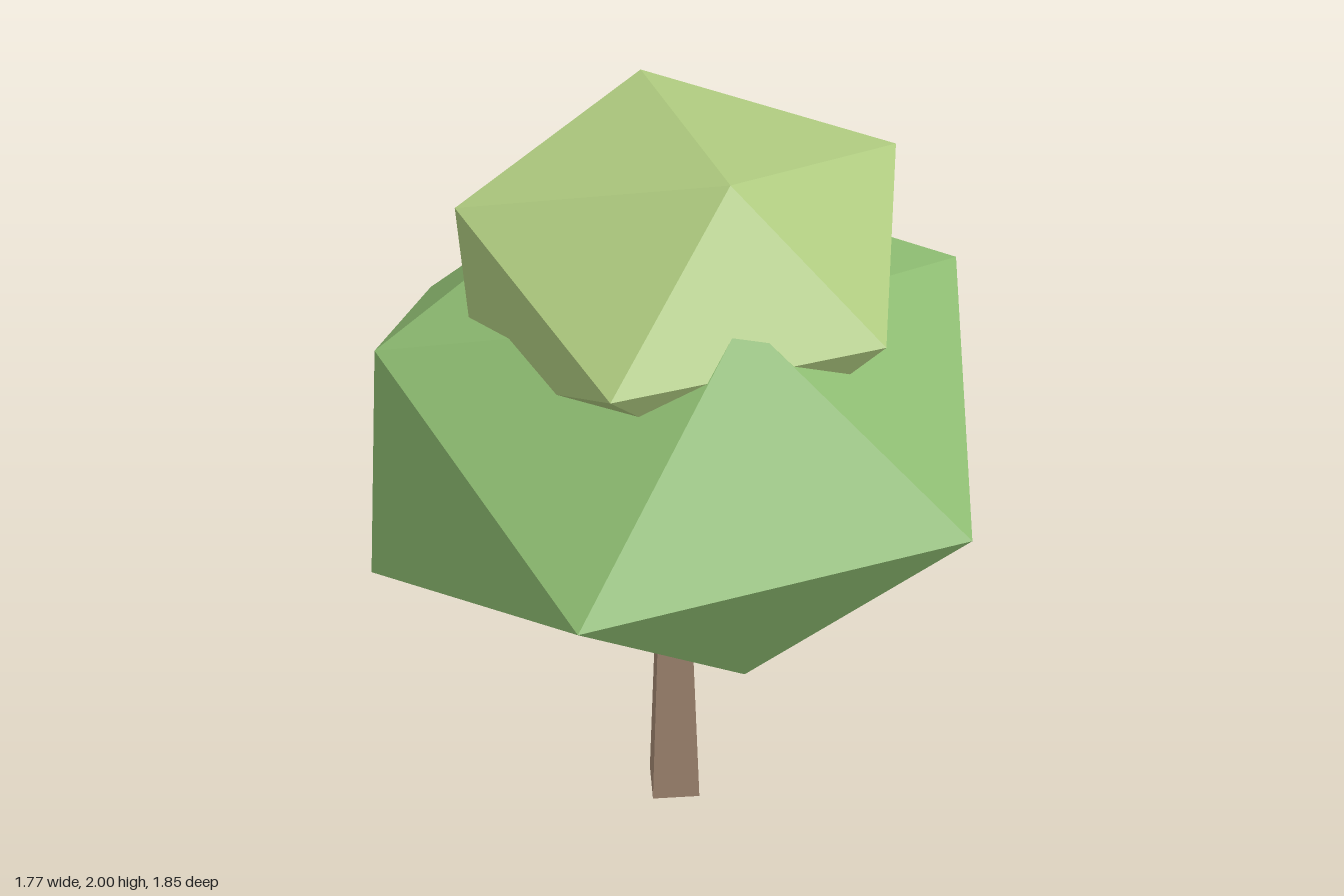
import * as THREE from 'three';
import { ConvexGeometry } from 'three/addons/geometries/ConvexGeometry.js';

function addPart(group, name, geometry, color) {
  const material = new THREE.MeshStandardMaterial({ color, flatShading: true });
  const mesh = new THREE.Mesh(geometry, material);
  mesh.name = name;
  group.add(mesh);
  return mesh;
}

// Faceted leaf mass: the hull of twelve slightly uneven corners
function leafMass(corners) {
  return new ConvexGeometry(corners.map((c) => new THREE.Vector3(...c)));
}

export function createModel() {
  const group = new THREE.Group();
  group.name = 'tree';

  // Tapered four-sided trunk, standing on its corner-forward base
  const trunk = addPart(group, 'trunk', new THREE.CylinderGeometry(0.046, 0.094, 1, 4), 0xa08570);
  trunk.position.set(-0.157, 0.5, 0.095);

  // Wide lower canopy
  addPart(group, 'lowerCanopy', leafMass([
    [-0.29, 1.74, 0.42], [0.22, 1.69, -0.4],      // top ridge
    [0.61, 1.51, 0.41], [-0.69, 1.51, -0.4],      // shoulders
    [-0.89, 1.2, 0.445], [-0.03, 1.2, 0.92],      // rim
    [0.885, 1.2, -0.44], [-0.03, 1.2, -0.925],
    [0.66, 0.87, 0.44], [-0.75, 0.85, -0.43],     // underside
    [-0.28, 0.68, 0.44], [0.21, 0.71, -0.37],
  ]), 0x8cba70);

  // Smaller upper canopy, sunk into the lower one
  addPart(group, 'upperCanopy', leafMass([
    [-0.2, 2, 0.305], [0.14, 2, -0.265],          // top ridge
    [0.445, 1.865, 0.31], [-0.505, 1.865, -0.28], // shoulders
    [-0.62, 1.625, 0.31], [-0.03, 1.625, 0.64],   // rim
    [0.555, 1.625, -0.28], [-0.03, 1.625, -0.565],
    [0.44, 1.39, 0.31], [-0.5, 1.39, -0.25],      // underside
    [-0.2, 1.25, 0.32], [0.14, 1.25, -0.25],
  ]), 0xadc97e);

  return group;
}
